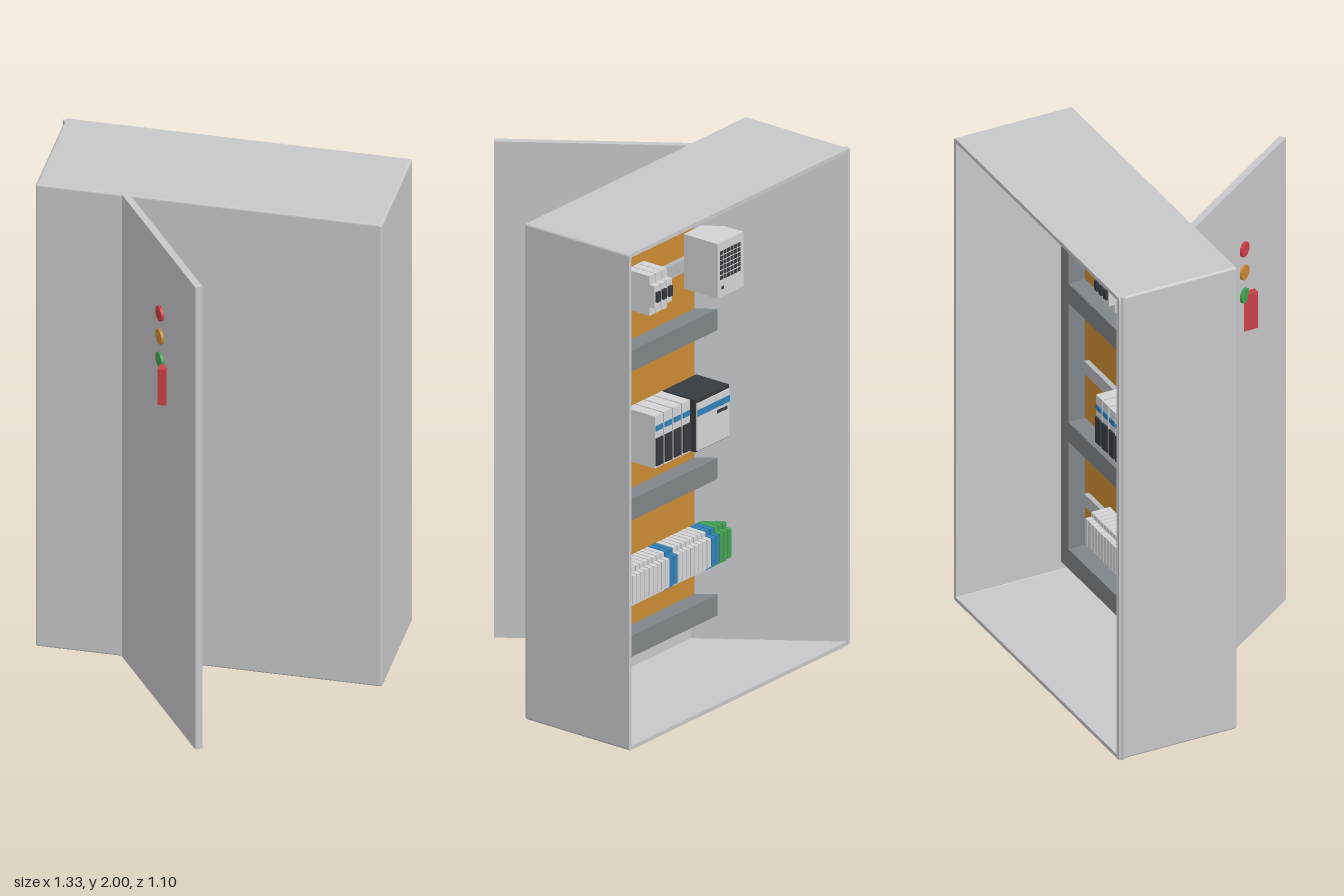
import * as THREE from 'three';

const mat = (name, color) => {
  const m = new THREE.MeshStandardMaterial({ color });
  m.name = name;
  return m;
};

export function createModel() {
  const M = {
    shell: mat('light grey paint', 0xc6c7ca),
    plate: mat('orange', 0xc98a33),
    duct: mat('duct grey', 0x7e8588),
    rail: mat('rail metal', 0xb4b7ba),
    device: mat('device grey', 0xd2d3d4),
    dark: mat('dark plastic', 0x363b40),
    blue: mat('blue', 0x2f80b8),
    green: mat('green', 0x45a055),
    red: mat('red', 0xcc3f47),
  };
  const root = new THREE.Group();
  root.name = 'controlCabinet';

  const group = (name, parent = root) => {
    const g = new THREE.Group();
    g.name = name;
    parent.add(g);
    return g;
  };
  const mesh = (name, geo, material, parent = root) => {
    const m = new THREE.Mesh(geo, material);
    m.name = name;
    parent.add(m);
    return m;
  };
  // Box given by its limits on each axis
  const box = (name, material, [x0, x1], [y0, y1], [z0, z1], parent) => {
    const m = mesh(name, new THREE.BoxGeometry(x1 - x0, y1 - y0, z1 - z0), material, parent);
    m.position.set((x0 + x1) / 2, (y0 + y1) / 2, (z0 + z1) / 2);
    return m;
  };
  // Rounded rectangle outline
  const outline = (S, x0, x1, y0, y1, r) => {
    const s = new S();
    s.absarc(x1 - r, y1 - r, r, 0, Math.PI / 2);
    s.absarc(x0 + r, y1 - r, r, Math.PI / 2, Math.PI);
    s.absarc(x0 + r, y0 + r, r, Math.PI, Math.PI * 1.5);
    s.absarc(x1 - r, y0 + r, r, Math.PI * 1.5, Math.PI * 2);
    s.closePath();
    return s;
  };

  // Enclosure: four walls open at the back, closed by a panel with rounded edges
  const X0 = -0.66, X1 = 0.665, shell = group('enclosure');
  const ring = outline(THREE.Shape, X0, X1, 0, 2, 0.01);
  ring.holes.push(outline(THREE.Path, X0 + 0.016, X1 - 0.016, 0.016, 1.984, 0.003));
  mesh('walls', new THREE.ExtrudeGeometry(ring, { depth: 0.485, bevelEnabled: false, curveSegments: 4 }),
    M.shell, shell).position.z = -0.545;
  const b = 0.008;
  mesh('frontPanel', new THREE.ExtrudeGeometry(outline(THREE.Shape, X0 + b, X1 - b, b, 2 - b, 0.004), {
    depth: 0.003, bevelThickness: b, bevelSize: b, bevelSegments: 3, curveSegments: 4,
  }), M.shell, shell).position.z = -0.061;

  // Open door, swung through the corner hinge line
  const door = group('door');
  door.position.set(-0.655, 0, -0.54);
  door.rotation.y = -THREE.MathUtils.degToRad(55);
  box('doorLeaf', M.shell, [0, 1.32], [0, 2], [-0.014, 0.014], door);
  [['redLamp', M.red, 1.7], ['amberLamp', M.plate, 1.6], ['greenLamp', M.green, 1.5]].forEach(([n, m, y]) => {
    const lamp = mesh(n, new THREE.CylinderGeometry(0.03, 0.03, 0.012, 24), m, door);
    lamp.rotation.x = Math.PI / 2;
    lamp.position.set(0.975, y, 0.018);
  });
  box('handle', M.red, [-0.105, -0.075], [1.34, 1.495], [0.25, 0.33]);

  // Mounting plate with wiring ducts and rails
  const inside = group('mountingAssembly');
  const PZ = -0.08;
  box('mountingPlate', M.plate, [-0.6, 0.6], [0.07, 1.93], [PZ, -0.066], inside);
  for (const s of [-1, 1])
    box('verticalDuct', M.duct, s > 0 ? [0.5, 0.56] : [-0.56, -0.5], [0.11, 1.89], [-0.15, PZ], inside);
  for (const y of [0.11, 0.66, 1.26, 1.805])
    box('horizontalDuct', M.duct, [-0.5, 0.5], [y, y + 0.085], [-0.15, PZ], inside);
  for (const y of [0.41, 0.985, 1.55])
    box('rail', M.rail, [-0.47, 0.47], [y - 0.027, y + 0.027], [-0.1, PZ], inside);

  // Circuit breakers with toggles
  const breakers = group('circuitBreakers', inside);
  for (let i = 0; i < 3; i++) {
    const x = 0.015 + i * 0.036, w = [x, x + 0.033];
    box('breakerBody', M.device, w, [1.49, 1.65], [-0.21, -0.1], breakers);
    box('breakerNose', M.device, w, [1.525, 1.615], [-0.235, -0.21], breakers);
    box('breakerToggle', M.dark, [x + 0.006, x + 0.027], [1.55, 1.59], [-0.245, -0.235], breakers);
  }

  // Power supply with a ventilation grid
  const psu = group('powerSupply', inside);
  box('supplyBody', M.device, [-0.38, -0.225], [1.46, 1.68], [-0.26, -0.1], psu);
  for (let i = 0; i < 6; i++)
    for (let j = 0; j < 6; j++)
      box('ventSlot', M.dark, [-0.362 + i * 0.021, -0.346 + i * 0.021],
        [1.53 + j * 0.02, 1.545 + j * 0.02], [-0.262, -0.26], psu);
  box('supplyIndicator', M.dark, [-0.262, -0.25], [1.49, 1.502], [-0.262, -0.26], psu);

  // Input and output modules
  const io = group('controlModules', inside);
  for (let i = 0; i < 4; i++) {
    const x = -0.092 + i * 0.054, w = [x, x + 0.048], f = [x + 0.004, x + 0.044];
    box('moduleBody', M.device, w, [0.88, 1.09], [-0.235, -0.1], io);
    box('moduleStripe', M.blue, f, [1.03, 1.05], [-0.239, -0.235], io);
    box('moduleTerminals', M.dark, f, [0.89, 1.0], [-0.242, -0.235], io);
  }

  // Main controller: dark housing, light face with a blue band
  const cpu = group('mainController', inside);
  box('controllerBody', M.dark, [-0.3, -0.1], [0.88, 1.09], [-0.255, -0.1], cpu);
  box('controllerFace', M.device, [-0.296, -0.104], [0.885, 1.075], [-0.261, -0.255], cpu);
  box('controllerBand', M.blue, [-0.296, -0.104], [1.025, 1.05], [-0.264, -0.261], cpu);
  box('controllerPort', M.dark, [-0.28, -0.22], [1.0, 1.012], [-0.264, -0.261], cpu);

  // Row of terminal blocks
  const terminals = group('terminalBlocks', inside);
  const n = 26, pitch = 0.0248;
  for (let i = 0; i < n; i++) {
    const x = 0.262 - i * pitch;
    const m = i >= 23 ? M.green : [11, 12, 21, 22].includes(i) ? M.blue : M.device;
    const w = [x - pitch + 0.004, x];
    box('terminalBase', m, w, [0.335, 0.49], [-0.18, -0.1], terminals);
    box('terminalTop', m, w, [0.355, 0.47], [-0.205, -0.18], terminals);
  }
  return root;
}
